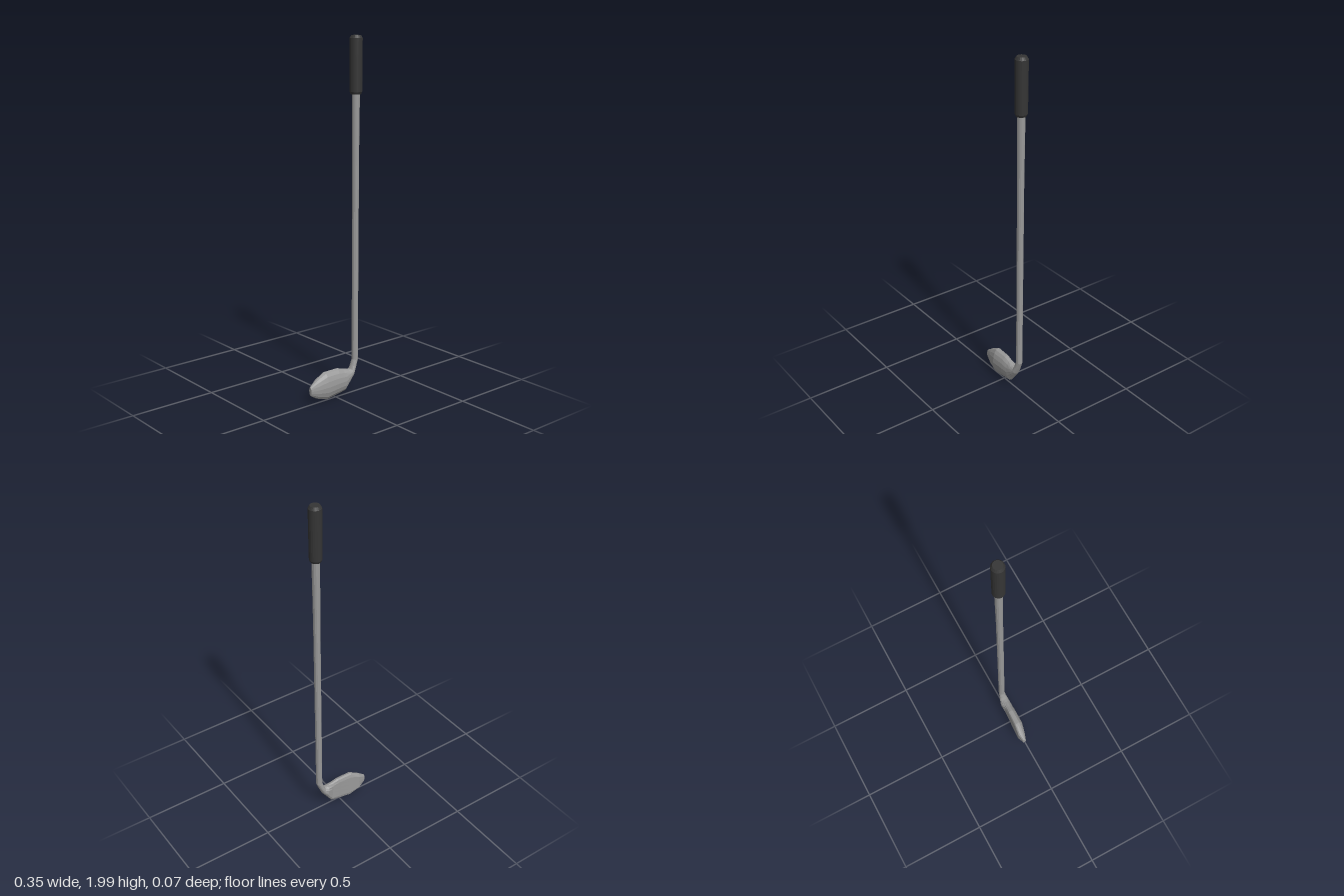
import * as THREE from 'three';

const SIDES = 16;

// Rings run from the toe to the hosel:
// lower x, y, upper x, y, front z, back z, ridge z, back flatness
const rings = [
  [-0.172, 0.053, -0.175, 0.105, 0.0, -0.02, -0.01, 1],
  [-0.13, 0.027, -0.13, 0.139, 0.016, -0.03, -0.01, 1.6],
  [-0.065, 0.006, -0.075, 0.171, 0.031, -0.026, -0.009, 1.8],
  [0.0, 0.017, 0.015, 0.171, 0.032, -0.022, -0.008, 1.8],
  [0.063, 0.028, 0.05, 0.16, 0.031, -0.02, -0.006, 1.6],
  [0.1, 0.08, 0.085, 0.151, 0.029, -0.03, -0.003, 1.1],
  [0.122, 0.11, 0.104, 0.149, 0.026, -0.025, 0, 1],
  [0.142, 0.155, 0.112, 0.168, 0.021, -0.021, 0, 1],
  [0.158, 0.197, 0.122, 0.2, 0.018, -0.018, 0, 1],
];

// Skin the rings: domed striking face, flattened back with a bevelled rim
function headGeometry() {
  const positions = [], index = [];
  for (const [lx, ly, ux, uy, front, back, ridge, flat] of rings) {
    for (let j = 0; j < SIDES; j++) {
      const a = (j / SIDES) * Math.PI * 2;
      const t = (1 + Math.cos(a)) / 2, s = Math.sin(a);
      const z = s > 0
        ? ridge + (front - ridge) * s
        : ridge + (back - ridge) * Math.min(1, -s * flat);
      positions.push(lx + (ux - lx) * t, ly + (uy - ly) * t, z);
    }
  }
  for (let i = 0; i < rings.length - 1; i++) {
    for (let j = 0; j < SIDES; j++) {
      const k = (j + 1) % SIDES;
      const a = i * SIDES + j, b = i * SIDES + k;
      index.push(a, b, b + SIDES, a, b + SIDES, a + SIDES);
    }
  }
  // Toe cap
  for (let j = 1; j < SIDES - 1; j++) index.push(0, j + 1, j);
  const g = new THREE.BufferGeometry();
  g.setAttribute('position', new THREE.Float32BufferAttribute(positions, 3));
  g.setIndex(index);
  const out = g.toNonIndexed();
  out.computeVertexNormals();
  return out;
}

function turned(profile, sides) {
  return new THREE.LatheGeometry(profile.map(([r, y]) => new THREE.Vector2(r, y)), sides);
}

export function createModel() {
  const group = new THREE.Group();
  const metal = new THREE.MeshStandardMaterial({ color: 0x999999, flatShading: true });
  metal.name = 'grey metal';
  const rubber = new THREE.MeshStandardMaterial({ color: 0x353535, flatShading: true });
  rubber.name = 'black rubber';

  const add = (name, geometry, material, x = 0) => {
    const mesh = new THREE.Mesh(geometry, material);
    mesh.name = name;
    mesh.position.x = x;
    group.add(mesh);
  };

  add('clubHead', headGeometry(), metal);

  // Tapered shaft, slimmer towards the head
  add('shaft', turned([[0.018, 0.196], [0.019, 1.33], [0.022, 1.7]], 12), metal, 0.14);

  // Grip with chamfered ends
  add('grip', turned([
    [0, 1.69], [0.028, 1.69], [0.034, 1.703], [0.035, 1.9],
    [0.035, 1.985], [0.026, 2], [0, 2],
  ], 20), rubber, 0.14);

  return group;
}
